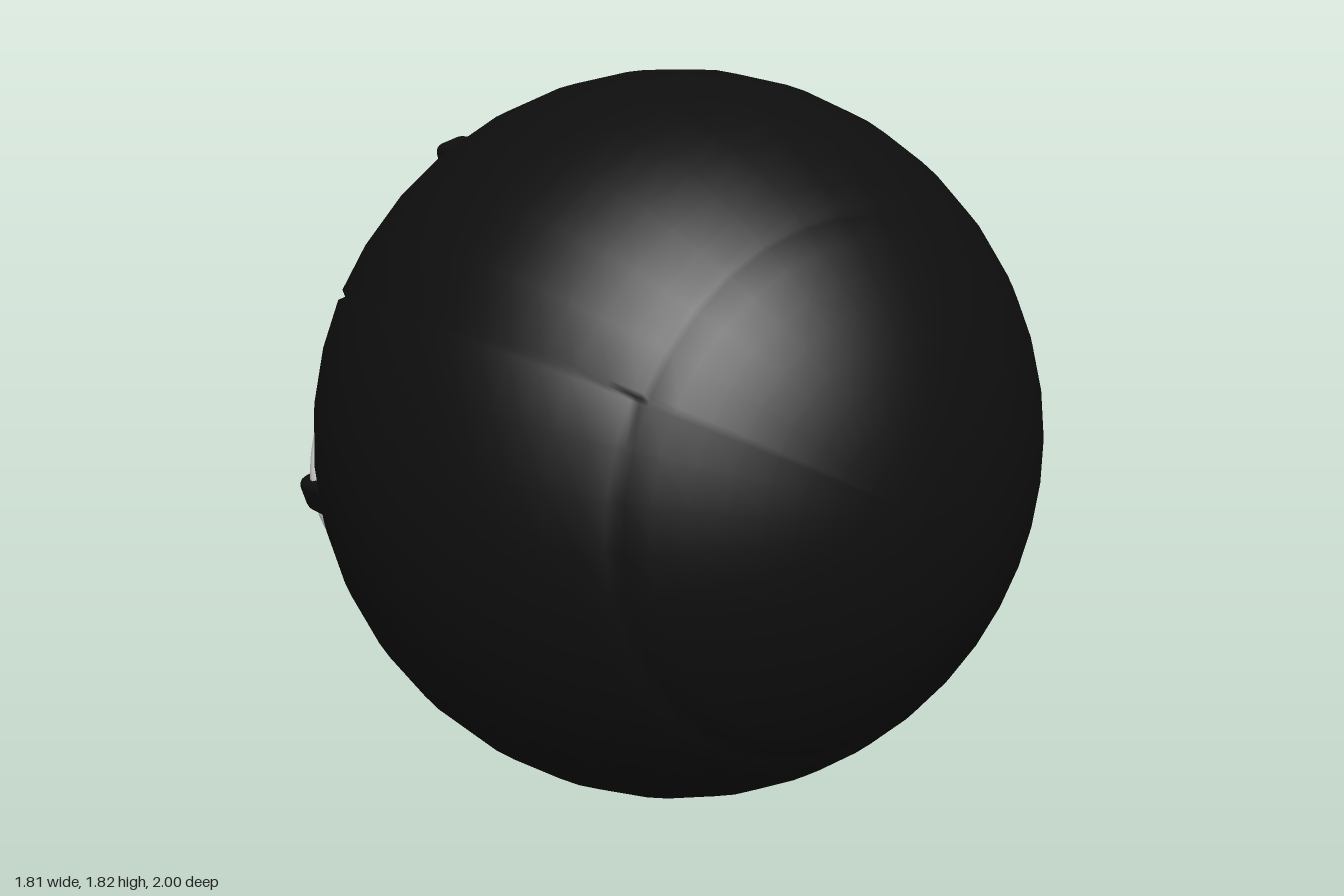
import * as THREE from 'three';
import { RoundedBoxGeometry } from 'three/addons/geometries/RoundedBoxGeometry.js';

const black = new THREE.MeshStandardMaterial({ color: 0x0e0e0e });
const dark = new THREE.MeshStandardMaterial({ color: 0x303030 });
const grey = new THREE.MeshStandardMaterial({ color: 0xcccccc });
const rad = THREE.MathUtils.degToRad;
const R = 0.905;

function add(parent, name, geometry, material) {
  const mesh = new THREE.Mesh(geometry, material);
  mesh.name = name;
  parent.add(mesh);
  return mesh;
}

// Ball with its pole on z: a ring seam at the front and three seams running back
function ballGeometry() {
  const ring = 45, seams = [30, 150, 270];
  const rows = [], cols = [];
  for (let t = 0; t <= 180; t += 5) {
    if (t === ring) rows.push(t - 1.2, t, t + 1.2);
    else rows.push(t);
  }
  for (let p = 0; p < 360; p += 10) {
    if (seams.includes(p)) cols.push(p - 1, p, p + 1);
    else cols.push(p);
  }
  const pos = [], index = [], n = cols.length;
  rows.forEach((t, i) => cols.forEach((p, j) => {
    const groove = t === ring || (t > ring && t < 175 && seams.includes(p));
    const r = groove ? R - 0.013 : R;
    const s = Math.sin(rad(t));
    pos.push(r * s * Math.cos(rad(p)), r * s * Math.sin(rad(p)), r * Math.cos(rad(t)));
    if (i < rows.length - 1) {
      const k = (j + 1) % n;
      const a = i * n + j, b = a + n, c = (i + 1) * n + k, d = i * n + k;
      index.push(a, b, d, b, c, d);
    }
  }));
  const g = new THREE.BufferGeometry();
  g.setAttribute('position', new THREE.Float32BufferAttribute(pos, 3));
  g.setIndex(index);
  g.computeVertexNormals();
  return g;
}

// Lathe whose axis points backwards; points are [radius, distance behind centre]
function backLathe(points, segments, flat = true) {
  let g = new THREE.LatheGeometry(points.map(([r, d]) => new THREE.Vector2(r, d)), segments);
  g.rotateX(-Math.PI / 2);
  if (flat) {
    g = g.toNonIndexed();
    g.computeVertexNormals();
  }
  return g;
}

function tube(points, radius, steps) {
  const curve = new THREE.CatmullRomCurve3(points, false, 'centripetal');
  return new THREE.TubeGeometry(curve, steps, radius, 10);
}

export function createModel() {
  const model = new THREE.Group();
  model.name = 'ball';

  // Tilted body holding everything that sits on the ball's axis
  const body = new THREE.Group();
  body.name = 'body';
  body.position.set(0, 0.915, 0.095);
  body.rotation.set(-0.06, -0.025, 0);
  model.add(body);
  body.updateMatrixWorld(true);
  add(body, 'shell', ballGeometry(), black);

  // Plug: flange, octagonal block and two studs
  const plug = new THREE.Group();
  plug.name = 'plug';
  body.add(plug);
  add(plug, 'flange', backLathe([[0.31, 0.8], [0.31, 0.9], [0.265, 0.94], [0, 0.94]], 32), dark);

  const outline = new THREE.Shape();
  const w = 0.21, h = 0.155, c = 0.09;
  [[w, h - c], [w - c, h], [c - w, h], [-w, h - c], [-w, c - h], [c - w, -h], [w - c, -h], [w, c - h]]
    .forEach(([x, y], i) => (i ? outline.lineTo(x, y) : outline.moveTo(x, y)));
  const block = new THREE.ExtrudeGeometry(outline, {
    depth: 0.13, bevelEnabled: true, bevelThickness: 0.008, bevelSize: 0.008, bevelOffset: -0.008, bevelSegments: 1,
  });
  add(plug, 'block', block, dark).position.z = -1.047;
  for (const x of [-0.0875, 0.0875]) {
    const stud = backLathe([[0.046, 1.04], [0.044, 1.062], [0.034, 1.068], [0.03, 1.09], [0.022, 1.096], [0, 1.096]], 16);
    add(plug, 'stud', stud, dark).position.x = x;
  }

  // Six cord brackets, in pairs at three corners
  const bracketAngles = [-44, -16, 76, 104, 196, 224];
  for (const angle of bracketAngles) {
    const arm = new THREE.Group();
    arm.name = 'bracketArm';
    arm.rotation.z = rad(angle);
    body.add(arm);
    add(arm, 'bracket', new RoundedBoxGeometry(0.19, 0.1, 0.2, 2, 0.025), black).position.set(0.615, 0, -0.665);
  }

  // Cord threaded through the brackets, with both ends meeting in the toggle
  const at = (angle, r, z) => new THREE.Vector3(r * Math.cos(rad(angle)), r * Math.sin(rad(angle)), z);
  const world = (x, y, z) => body.worldToLocal(new THREE.Vector3(x, y, z));
  const path = [world(0.08, 0.27, -0.68), world(0.14, 0.31, -0.635), world(0.3, 0.35, -0.61)];
  bracketAngles.forEach((angle, i) => {
    path.push(at(angle, 0.68, -0.7));
    if (i === 1 || i === 3) {
      path.push(at(angle + 22, 0.6, -0.72), at(angle + 46, 0.56, -0.745), at(angle + 70, 0.6, -0.72));
    }
  });
  path.push(world(-0.24, 0.35, -0.61), world(-0.08, 0.31, -0.635), world(-0.02, 0.27, -0.68));
  add(body, 'cord', tube(path, 0.023, 160), grey);

  // Waisted toggle
  const half = [[0, 0.14], [0.06, 0.137], [0.09, 0.125], [0.1, 0.1], [0.093, 0.065], [0.082, 0.03]];
  const profile = [...half, [0.08, 0], ...half.map(([r, y]) => [r, -y]).reverse()]
    .reverse().map(([r, y]) => new THREE.Vector2(r, y));
  const toggleShape = new THREE.LatheGeometry(profile, 24);
  toggleShape.rotateZ(Math.PI / 2);
  toggleShape.scale(1, 1, 0.5);
  const toggle = add(model, 'toggle', toggleShape, grey);
  toggle.position.set(0.03, 0.23, -0.7);
  toggle.rotation.x = 0.53;

  // Two loose cord ends below the toggle
  for (const side of [-1, 1]) {
    const end = new THREE.Vector3(0.03 + side * 0.15, 0.024, -0.795);
    const tail = [
      new THREE.Vector3(0.03 + side * 0.05, 0.2, -0.715),
      new THREE.Vector3(0.03 + side * 0.08, 0.12, -0.755), end,
    ];
    add(model, 'cordEnd', tube(tail, 0.024, 16), grey);
    add(model, 'cordTip', new THREE.SphereGeometry(0.024, 10, 8), grey).position.copy(end);
  }
  return model;
}
